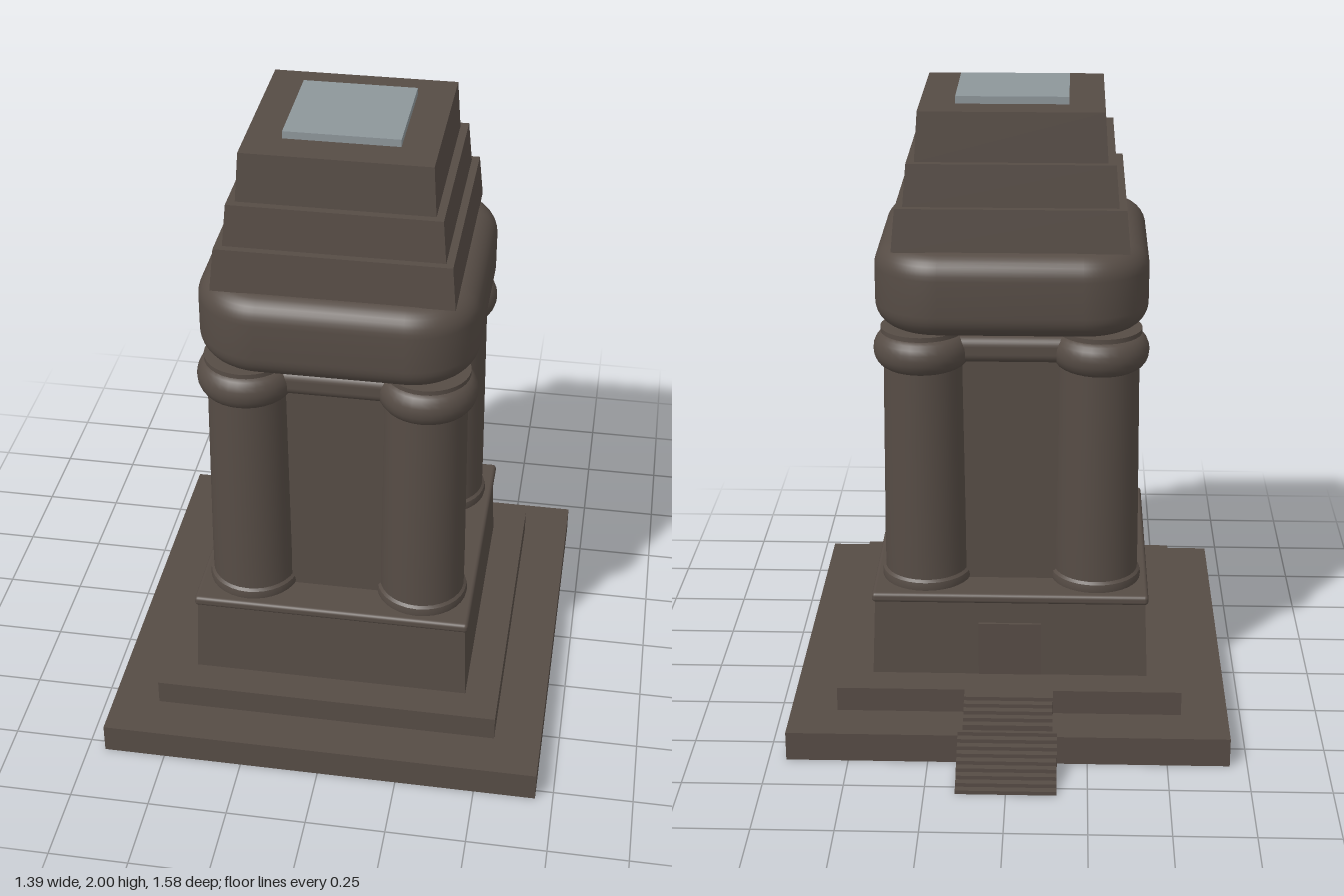
import * as THREE from 'three';
import { toCreasedNormals } from 'three/addons/utils/BufferGeometryUtils.js';
import { RoundedBoxGeometry } from 'three/addons/geometries/RoundedBoxGeometry.js';

const CZ = 0.09; // the tower sits forward of the origin, the stairs reach behind it

export function createModel() {
  const model = new THREE.Group();
  const stone = new THREE.MeshStandardMaterial({ color: 0x564c45 });
  stone.name = 'darkStone';
  const glass = new THREE.MeshStandardMaterial({ color: 0x8d969a });
  glass.name = 'skylightGlass';

  const add = (name, geometry, x = 0, y = 0, z = 0, material = stone) => {
    const mesh = new THREE.Mesh(geometry, material);
    mesh.name = name;
    mesh.position.set(x, y, z);
    model.add(mesh);
    return mesh;
  };

  // Square block from y0 to y1 whose half width goes from h0 to h1
  const block = (name, y0, y1, h0, h1 = h0, material = stone) => {
    const g = new THREE.BoxGeometry(2, y1 - y0, 2);
    const p = g.attributes.position;
    for (let i = 0; i < p.count; i++) {
      const h = p.getY(i) > 0 ? h1 : h0;
      p.setX(i, p.getX(i) * h);
      p.setZ(i, p.getZ(i) * h);
    }
    g.computeVertexNormals();
    return add(name, g, 0, (y0 + y1) / 2, CZ, material);
  };

  // Stepped base and plinth
  block('baseSlab', 0, 0.095, 0.695);
  block('upperSlab', 0.095, 0.175, 0.547);
  block('plinth', 0.175, 0.43, 0.44, 0.43);
  add('plinthLip', new RoundedBoxGeometry(0.88, 0.032, 0.88, 3, 0.012), 0, 0.44, CZ);

  // Walls with a rounded beam above
  block('coreWalls', 0.45, 1.31, 0.31);
  add('beam', new RoundedBoxGeometry(0.69, 0.085, 0.69, 4, 0.03), 0, 1.243, CZ);

  // Corner columns with a foot ring and a cushion capital
  const shaftProfile = [
    [0, 0.45], [0.142, 0.45], [0.145, 0.465], [0.142, 0.482], [0.134, 0.49],
    [0.134, 0.6], [0.127, 1.2], [0, 1.2],
  ];
  const capitalProfile = [[0, 1.178], [0.11, 1.178]];
  for (let i = 0; i <= 10; i++) {
    const a = -Math.PI / 2 + (Math.PI * i) / 10;
    capitalProfile.push([0.11 + 0.043 * Math.cos(a), 1.234 + 0.056 * Math.sin(a)]);
  }
  capitalProfile.push([0.13, 1.29], [0.13, 1.305], [0, 1.305]);
  const lathe = (points) => toCreasedNormals(
    new THREE.LatheGeometry(points.map(([r, y]) => new THREE.Vector2(r, y)), 32), 0.6);
  const shaft = lathe(shaftProfile);
  const capital = lathe(capitalProfile);
  for (const sx of [-1, 1]) {
    for (const sz of [-1, 1]) {
      add('column', shaft, sx * 0.272, 0, CZ + sz * 0.272);
      add('capital', capital, sx * 0.276, 0, CZ + sz * 0.276);
    }
  }

  // Bulging cushion: rounded square with a rounded edge
  const bevel = 0.075;
  const h = 0.425 - bevel;
  const r = 0.13;
  const c = h - r;
  const outline = new THREE.Shape();
  outline.absarc(c, c, r, 0, Math.PI / 2);
  outline.absarc(-c, c, r, Math.PI / 2, Math.PI);
  outline.absarc(-c, -c, r, Math.PI, Math.PI * 1.5);
  outline.absarc(c, -c, r, Math.PI * 1.5, Math.PI * 2);
  const cushion = new THREE.ExtrudeGeometry(outline, {
    depth: 0.265 - 2 * bevel, bevelSize: bevel, bevelThickness: bevel,
    bevelSegments: 8, curveSegments: 10,
  });
  cushion.rotateX(-Math.PI / 2);
  add('cushion', toCreasedNormals(cushion, 0.6), 0, 1.3 + bevel, CZ);

  // Three tapering tiers and the skylight
  block('lowerTier', 1.562, 1.695, 0.362, 0.35);
  block('middleTier', 1.695, 1.825, 0.327, 0.316);
  block('topTier', 1.825, 1.977, 0.292, 0.282);
  block('skylight', 1.97, 2, 0.173, 0.173, glass);

  // Rear stairs, each step reaching forward into the slabs
  const steps = 14;
  const z0 = -0.79;
  const run = 0.31 / steps;
  for (let i = 0; i < steps; i++) {
    const top = (0.175 * (i + 1)) / steps;
    const back = z0 + i * run;
    const lower = back < -0.606;
    const front = lower ? -0.6 : -0.45;
    const bottom = lower ? 0 : 0.09;
    add('step', new THREE.BoxGeometry(lower ? 0.31 : 0.28, top - bottom, front - back),
      0, (top + bottom) / 2, (front + back) / 2);
  }

  // Upright rear door set against the sloping plinth
  add('rearDoor', new THREE.BoxGeometry(0.2, 0.18, 0.04), 0, 0.265, -0.332);

  return model;
}
